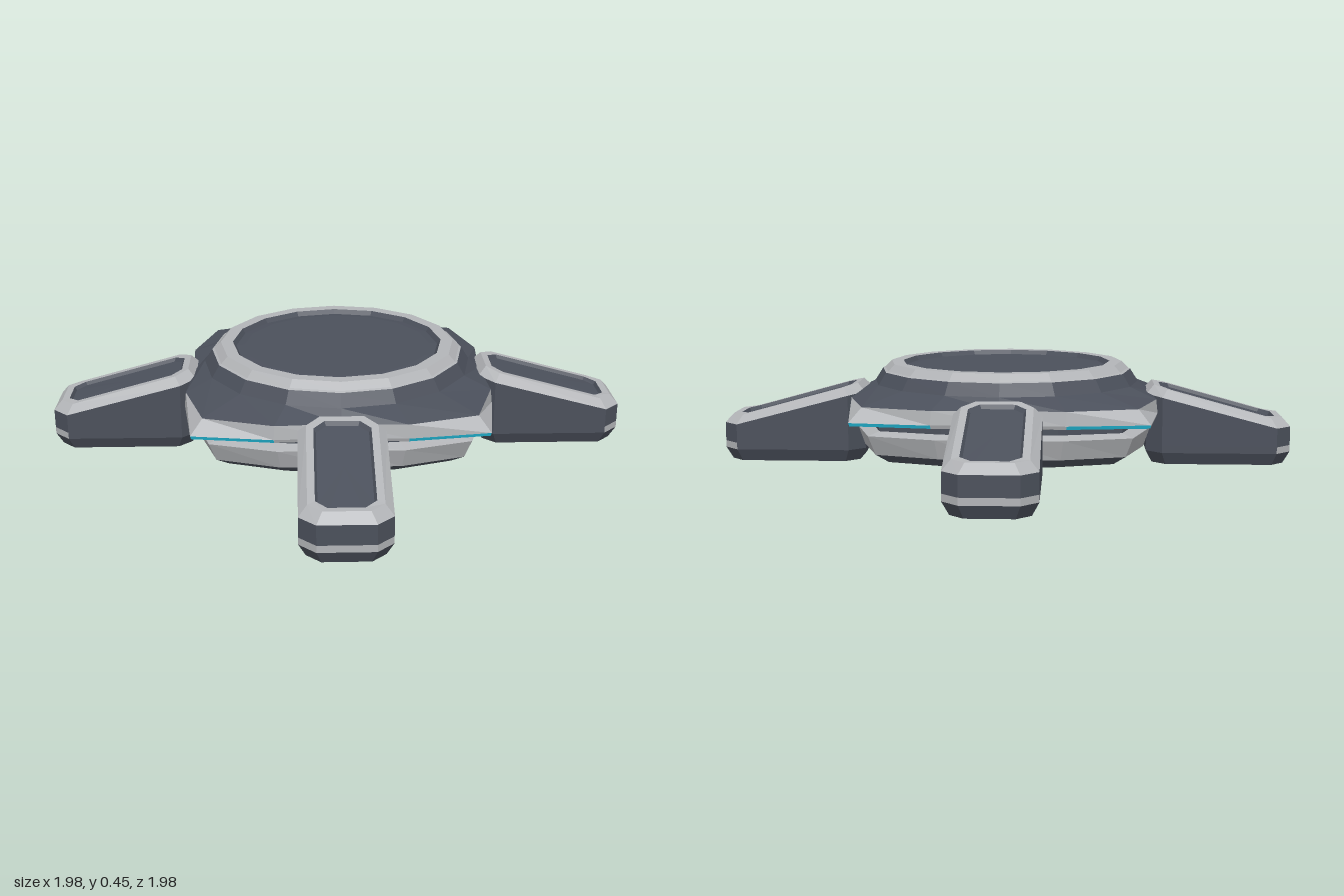
import * as THREE from 'three';

const flat = (name, color) => {
  const m = new THREE.MeshStandardMaterial({ color });
  m.name = name;
  return m;
};

// Skin a stack of closed rings (bottom to top). paint(band, segment) picks the
// material; bands 'bottom' and 'top' are the optional end caps.
function loft(name, rings, paint, caps = {}) {
  const group = new THREE.Group();
  group.name = name;
  const buckets = new Map();
  const tri = (mat, ...pts) => {
    if (!buckets.has(mat)) buckets.set(mat, []);
    pts.forEach(p => buckets.get(mat).push(...p));
  };
  const n = rings[0].length;
  for (let k = 0; k < rings.length - 1; k++) {
    for (let i = 0; i < n; i++) {
      const j = (i + 1) % n, mat = paint(k, i);
      const a = rings[k][i], b = rings[k][j], c = rings[k + 1][j], d = rings[k + 1][i];
      tri(mat, a, d, c);
      tri(mat, a, c, b);
    }
  }
  const cap = (ring, up) => {
    const mid = [0, 1, 2].map(c => ring.reduce((s, p) => s + p[c], 0) / n);
    ring.forEach((p, i) => {
      const q = ring[(i + 1) % n];
      tri(paint(up ? 'top' : 'bottom', i), mid, up ? q : p, up ? p : q);
    });
  };
  if (caps.bottom) cap(rings[0], false);
  if (caps.top) cap(rings[rings.length - 1], true);
  for (const [mat, pos] of buckets) {
    const g = new THREE.BufferGeometry();
    g.setAttribute('position', new THREE.Float32BufferAttribute(pos, 3));
    g.computeVertexNormals();
    const mesh = new THREE.Mesh(g, mat);
    mesh.name = `${name} ${mat.name}`;
    group.add(mesh);
  }
  return group;
}

// Sixteen-sided ring with separate radii at the four tips, their shoulders and the diagonals
function hullRing(y, tip, shoulder = tip, diagonal = tip) {
  return Array.from({ length: 16 }, (_, i) => {
    const r = [tip, shoulder, diagonal, shoulder][i % 4], a = i * Math.PI / 8;
    return [r * Math.cos(a), y, r * Math.sin(a)];
  });
}

// Chamfered rectangle of the leg, shrunk by inset; height(x) gives y
function legRing(inset, height) {
  const x0 = 0.64 + inset, x1 = 1.287 - inset, w = 0.183 - inset;
  const c = 0.068 - inset * 0.35;
  return [
    [x1, -w + c], [x1, w - c], [x1 - c, w], [x0 + c, w],
    [x0, w - c], [x0, -w + c], [x0 + c, -w], [x1 - c, -w],
  ].map(([x, z]) => [x, height(x), z]);
}

export function createModel() {
  const dark = flat('dark armour', 0x4b505b);
  const light = flat('light trim', 0xb2b4b7);
  const glow = flat('cyan light', 0x22b8d6);
  const model = new THREE.Group();
  model.name = 'platform';

  // Lower hull with a bright belt
  model.add(loft('lowerHull', [
    hullRing(0.06, 0.68, 0.61, 0.59),
    hullRing(0.10, 0.75, 0.67, 0.62),
    hullRing(0.185, 0.79, 0.70, 0.64),
    hullRing(0.20, 0.73, 0.64, 0.61),
    hullRing(0.225, 0.73, 0.64, 0.61),
  ], k => (k === 1 || k === 2 ? light : dark), { bottom: true }));

  // Pointed rim with light strips beside the tips
  const lit = [0, 3, 4, 8, 11, 12];
  model.add(loft('rim', [
    hullRing(0.225, 0.73, 0.64, 0.61),
    hullRing(0.238, 0.885, 0.73, 0.66),
    hullRing(0.252, 0.89, 0.735, 0.665),
    hullRing(0.312, 0.82, 0.728, 0.655),
  ], (k, i) => (k === 1 && lit.includes(i) ? glow : light)));

  // Sloping deck up to the turret
  model.add(loft('deck', [
    hullRing(0.312, 0.82, 0.728, 0.655),
    hullRing(0.36, 0.605),
  ], () => dark));

  // Round turret with a raised light ring and recessed top
  model.add(loft('turret', [
    hullRing(0.36, 0.605),
    hullRing(0.415, 0.57),
    hullRing(0.42, 0.56),
    hullRing(0.45, 0.53),
    hullRing(0.45, 0.475),
    hullRing(0.43, 0.46),
    hullRing(0.435, 0.42),
  ], k => (k >= 1 && k <= 3 ? light : dark), { top: true }));

  // Ring marking on the underside
  const ring = new THREE.Mesh(new THREE.RingGeometry(0.25, 0.285, 32), light);
  ring.name = 'undersideRing';
  ring.rotation.x = Math.PI / 2;
  ring.position.y = 0.057;
  model.add(ring);

  // Four diagonal wedge legs
  const slope = x => 0.355 - 0.274 * (Math.min(Math.max(x, 0.67), 1.2) - 0.67);
  const legRings = [
    legRing(0.085, () => 0.012),
    legRing(0.07, () => 0),
    legRing(0.028, () => 0),
    legRing(0, () => 0.055),
    legRing(0, () => 0.085),
    legRing(0, x => slope(x) - 0.04),
    legRing(0.035, slope),
    legRing(0.065, slope),
    legRing(0.075, x => slope(x) - 0.015),
  ];
  const legPaint = (k, i) => {
    if (k === 5 || k === 6) return light;
    const outerEnd = i === 0 || i === 1 || i === 7;
    return k === 3 && outerEnd ? light : dark;
  };
  for (let k = 0; k < 4; k++) {
    const leg = loft('leg', legRings, legPaint, { bottom: true, top: true });
    leg.rotation.y = Math.PI / 4 + k * Math.PI / 2;
    model.add(leg);
  }
  return model;
}
